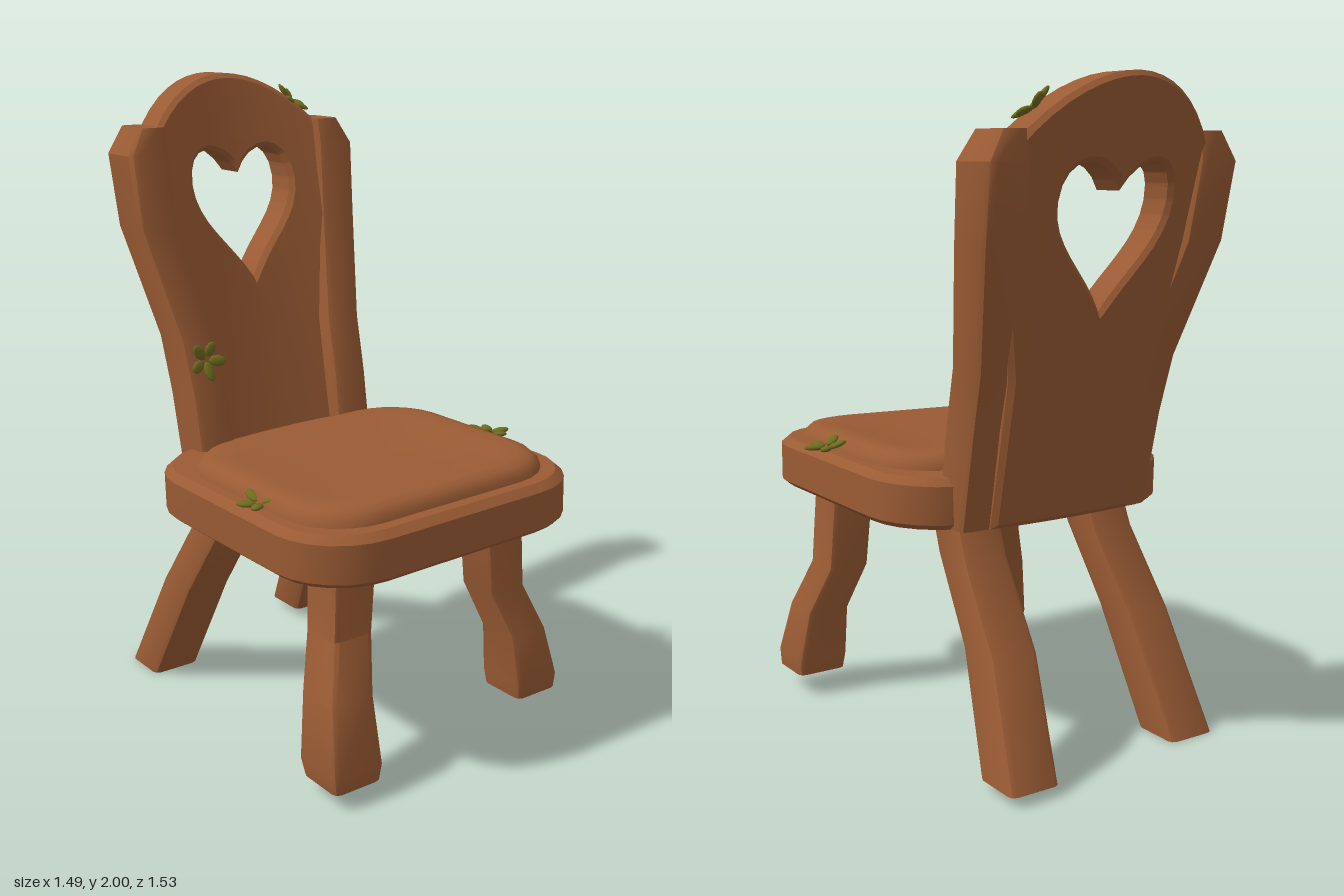
import * as THREE from 'three';
import { toCreasedNormals } from 'three/addons/utils/BufferGeometryUtils.js';

const wood = new THREE.MeshStandardMaterial({ color: 0x9a5b34 });
wood.name = 'warm wood';
const leafGreen = new THREE.MeshStandardMaterial({ color: 0x6e6c1e });
leafGreen.name = 'olive leaf';

// Rounded rectangle ring, 4 * (n + 1) points
function ring({ x, y, z, w, d, r }, n) {
  const pts = [];
  for (let q = 0; q < 4; q++) {
    const sx = q === 0 || q === 3 ? 1 : -1;
    const sz = q < 2 ? 1 : -1;
    for (let i = 0; i <= n; i++) {
      const a = (q + i / n) * Math.PI / 2;
      pts.push([x + sx * (w / 2 - r) + r * Math.cos(a), y, z + sz * (d / 2 - r) + r * Math.sin(a)]);
    }
  }
  return pts;
}

// Skin a stack of rings from bottom to top and cap both ends
function loft(sections, n, crease) {
  const rings = sections.map(s => ring(s, n));
  const m = rings[0].length;
  const pos = [];
  const tri = (a, b, c) => pos.push(...a, ...b, ...c);
  for (let k = 0; k < rings.length - 1; k++) {
    for (let i = 0; i < m; i++) {
      const j = (i + 1) % m;
      const a = rings[k][i], b = rings[k][j], c = rings[k + 1][i], d = rings[k + 1][j];
      tri(a, c, b);
      tri(b, c, d);
    }
  }
  const s0 = sections[0], s1 = sections[sections.length - 1];
  const top = rings[rings.length - 1];
  for (let i = 0; i < m; i++) {
    const j = (i + 1) % m;
    tri([s0.x, s0.y, s0.z], rings[0][i], rings[0][j]);
    tri([s1.x, s1.y, s1.z], top[j], top[i]);
  }
  const g = new THREE.BufferGeometry();
  g.setAttribute('position', new THREE.Float32BufferAttribute(pos, 3));
  return toCreasedNormals(g, crease);
}

// Split every triangle into four
function subdivide(points) {
  const out = [];
  for (let i = 0; i < points.length; i += 3) {
    const [a, b, c] = points.slice(i, i + 3);
    const ab = a.clone().lerp(b, 0.5), bc = b.clone().lerp(c, 0.5), ca = c.clone().lerp(a, 0.5);
    out.push(a, ab, ca, ab, b, bc, ca, bc, c, ab, bc, ca);
  }
  return out;
}

// Leaning, hollowed backrest with a heart opening
function backPanelGeometry() {
  const s = new THREE.Shape();
  s.moveTo(-0.25, 0.7);
  s.lineTo(0.25, 0.7);
  s.lineTo(0.26, 1.15);
  s.lineTo(0.345, 1.55);
  s.lineTo(0.34, 1.8);
  s.bezierCurveTo(0.24, 1.94, 0.11, 2.0, 0, 2.0);
  s.bezierCurveTo(-0.11, 2.0, -0.24, 1.94, -0.34, 1.8);
  s.lineTo(-0.345, 1.55);
  s.lineTo(-0.26, 1.15);
  s.closePath();
  const h = new THREE.Path();
  h.moveTo(0, 1.34);
  h.bezierCurveTo(-0.07, 1.46, -0.19, 1.53, -0.19, 1.65);
  h.bezierCurveTo(-0.19, 1.79, -0.06, 1.79, 0, 1.68);
  h.bezierCurveTo(0.06, 1.79, 0.19, 1.79, 0.19, 1.65);
  h.bezierCurveTo(0.19, 1.53, 0.07, 1.46, 0, 1.34);
  s.holes.push(h);
  const ext = new THREE.ExtrudeGeometry(s, {
    depth: 0.1, bevelEnabled: true, bevelThickness: 0.015, bevelSize: 0.015,
    bevelOffset: -0.015, bevelSegments: 1, curveSegments: 8,
  });
  const flat = ext.index ? ext.toNonIndexed() : ext;
  const p = flat.attributes.position;
  let pts = [];
  for (let i = 0; i < p.count; i++) pts.push(new THREE.Vector3().fromBufferAttribute(p, i));
  for (let i = 0; i < 3; i++) pts = subdivide(pts);
  const pos = [];
  for (const v of pts) {
    const t = (v.y - 0.75) / 1.25;
    const hollow = 0.065 * (0.4 + 0.6 * t) * (1 - (v.x / 0.35) ** 2);
    pos.push(v.x, v.y, v.z - 0.05 - 0.32 - 0.28 * t - hollow);
  }
  const g = new THREE.BufferGeometry();
  g.setAttribute('position', new THREE.Float32BufferAttribute(pos, 3));
  return toCreasedNormals(g, 0.6);
}

export function createModel() {
  const model = new THREE.Group();
  model.name = 'chair';
  const chair = new THREE.Group();
  chair.name = 'turnedChair';
  chair.rotation.y = Math.PI / 4;
  model.add(chair);

  const add = (name, geometry, parent = chair, material = wood) => {
    const mesh = new THREE.Mesh(geometry, material);
    mesh.name = name;
    parent.add(mesh);
    return mesh;
  };

  // Seat slab and dished cushion, tilted a little sideways
  const seat = new THREE.Group();
  seat.name = 'seat';
  seat.rotation.z = 0.027;
  chair.add(seat);
  const slab = (y, inset) => ({ x: 0.01, y, z: 0.17, w: 1.03 - 2 * inset, d: 1.0 - 2 * inset, r: 0.23 - inset });
  add('seatSlab', loft([slab(0.688, 0.02), slab(0.705, 0), slab(0.82, 0), slab(0.842, 0.025)], 6, 0.7), seat);
  const pad = (y, inset) => ({
    x: 0.01, y, z: 0.2, w: 0.92 - 2 * inset, d: 0.82 - 2 * inset, r: Math.max(0.2 - inset * 0.5, 0.03),
  });
  add('seatCushion', loft([
    pad(0.83, 0), pad(0.86, 0.005), pad(0.882, 0.025), pad(0.89, 0.055),
    pad(0.886, 0.11), pad(0.878, 0.18), pad(0.873, 0.3),
  ], 6, 0.8), seat);

  // Backrest
  add('backPanel', backPanelGeometry());
  for (const side of [-1, 1]) {
    const sec = (x, y, z, w, d) => ({ x: side * x, y, z, w, d, r: 0.025 });
    add(side < 0 ? 'rightPost' : 'leftPost', loft([
      sec(0.272, 0.7, -0.29, 0.14, 0.15),
      sec(0.28, 1.0, -0.35, 0.135, 0.16),
      sec(0.288, 1.18, -0.4, 0.135, 0.16),
      sec(0.352, 1.53, -0.52, 0.14, 0.17),
      sec(0.363, 1.76, -0.555, 0.14, 0.18),
      sec(0.34, 1.845, -0.56, 0.09, 0.15),
    ], 2, 0.55));
  }

  // Crooked legs: [x, y, z, width] from foot to top
  const legs = {
    frontRightLeg: [[-0.368, 0.05, 0.544, 0.165], [-0.368, 0.1, 0.54, 0.18], [-0.355, 0.3, 0.505, 0.155], [-0.29, 0.45, 0.425, 0.145], [-0.276, 0.72, 0.417, 0.155]],
    frontLeftLeg: [[0.43, 0.07, 0.453, 0.165], [0.427, 0.12, 0.453, 0.175], [0.405, 0.28, 0.44, 0.15], [0.346, 0.43, 0.4, 0.145], [0.32, 0.72, 0.4, 0.15]],
    backRightLeg: [[-0.346, 0, -0.523, 0.165], [-0.325, 0.36, -0.33, 0.16], [-0.3, 0.6, -0.18, 0.155], [-0.29, 0.72, -0.14, 0.155]],
    backLeftLeg: [[0.315, 0.03, -0.619, 0.165], [0.265, 0.36, -0.445, 0.16], [0.24, 0.6, -0.26, 0.155], [0.235, 0.72, -0.21, 0.155]],
  };
  for (const [name, rows] of Object.entries(legs)) {
    add(name, loft(rows.map(([x, y, z, w]) => ({ x, y, z, w, d: w, r: 0.02 })), 2, 0.55));
  }

  // Small sprigs of leaves: position and tilt
  const leaf = new THREE.SphereGeometry(1, 8, 6);
  const sprigs = [
    ['archSprig', 0.262, 1.9, -0.6, 0.5, -0.5],
    ['postSprig', -0.285, 1.12, -0.3, 1.4, 0],
    ['leftSeatSprig', 0.475, 0.865, 0.226, 0, -0.2],
    ['rightSeatSprig', -0.465, 0.838, 0.276, 0, 0.2],
  ];
  for (const [name, x, y, z, rx, rz] of sprigs) {
    const sprig = new THREE.Group();
    sprig.name = name;
    sprig.position.set(x, y, z);
    sprig.rotation.set(rx, 0, rz);
    chair.add(sprig);
    for (let i = 0; i < 5; i++) {
      const a = i * 1.257 + x * 5;
      const len = 0.034 - 0.004 * (i % 3);
      const m = add('leaf', leaf, sprig, leafGreen);
      m.scale.set(len, 0.009, 0.019);
      m.position.set(Math.cos(a) * 0.038, 0.008 + 0.005 * (i % 2), -Math.sin(a) * 0.038);
      m.rotation.set(0, a, 0.25);
    }
  }
  return model;
}
